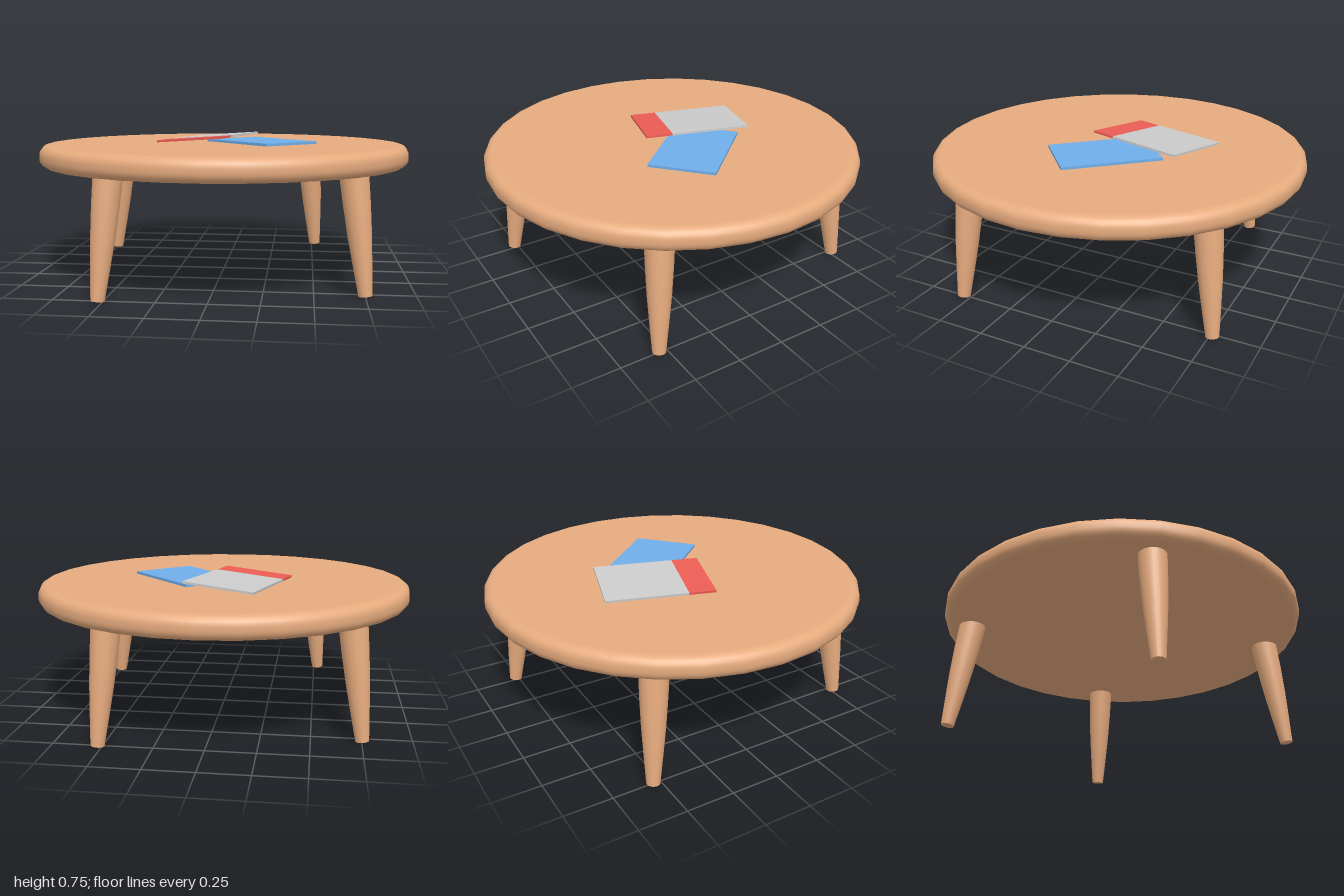
import * as THREE from 'three';

const wood = new THREE.MeshStandardMaterial({ color: 0xe6ab7e });
const blue = new THREE.MeshStandardMaterial({ color: 0x70aeea });
const red = new THREE.MeshStandardMaterial({ color: 0xeb5d54 });
const grey = new THREE.MeshStandardMaterial({ color: 0xcccccc });

const UNDERSIDE = 0.595, TOP = 0.712, EDGE = 0.05;

function add(parent, name, geometry, material) {
  const mesh = new THREE.Mesh(geometry, material);
  mesh.name = name;
  parent.add(mesh);
  return mesh;
}

// Turned shape from [radius, height] pairs; a repeated pair gives a sharp edge
function turned(pairs, sides) {
  return new THREE.LatheGeometry(pairs.map(([r, y]) => new THREE.Vector2(r, y)), sides);
}

// Round top with a softly rounded rim
function tabletopGeometry() {
  const pairs = [[0, UNDERSIDE], [1 - EDGE - 0.01, UNDERSIDE]];
  const steps = 6;
  for (const [centreY, start] of [[UNDERSIDE + EDGE, -Math.PI / 2], [TOP - EDGE, 0]]) {
    for (let i = 0; i <= steps; i++) {
      const a = start + (i / steps) * Math.PI / 2;
      pairs.push([1 - EDGE + EDGE * Math.cos(a), centreY + EDGE * Math.sin(a)]);
    }
  }
  pairs.push([1 - EDGE - 0.01, TOP], [0, TOP]);
  return turned(pairs, 32);
}

export function createModel() {
  const model = new THREE.Group();
  model.name = 'coffeeTable';

  add(model, 'tabletop', tabletopGeometry(), wood);

  // Tapered legs, splayed outward and slightly swollen in the middle
  const legGeometry = turned([
    [0, 0], [0.034, 0], [0.034, 0], [0.047, 0.15], [0.059, 0.3],
    [0.067, 0.45], [0.072, 0.6], [0.073, 0.64],
  ], 24);
  const up = new THREE.Vector3(0, 1, 0);
  for (const [x, z] of [[0.75, 0.542], [-0.523, 0.766], [-0.753, -0.54], [0.52, -0.765]]) {
    const leg = add(model, 'leg', legGeometry, wood);
    leg.position.set(x, 0.0045, z);
    const axis = new THREE.Vector3(-x * 0.088, UNDERSIDE, -z * 0.088).normalize();
    leg.quaternion.setFromUnitVectors(up, axis);
  }

  // Blue magazine lying flat
  const flat = add(model, 'blueMagazine', new THREE.BoxGeometry(0.35, 0.014, 0.527), blue);
  flat.position.set(0.2025, TOP + 0.007, -0.0125);
  flat.rotation.y = 0.734;

  // Grey magazine with a red band, leaning on the blue one
  const leaning = new THREE.Group();
  leaning.name = 'leaningMagazine';
  leaning.position.set(-0.1025, 0.733, -0.17);
  leaning.rotation.set(0, -0.289, 0.075, 'YXZ');
  const width = 0.386, length = 0.569, band = 0.142, thick = 0.012;
  add(leaning, 'greyCover', new THREE.BoxGeometry(width, thick, length - band), grey)
    .position.z = -band / 2;
  add(leaning, 'redBand', new THREE.BoxGeometry(width, thick, band), red)
    .position.z = (length - band) / 2;
  model.add(leaning);

  return model;
}
